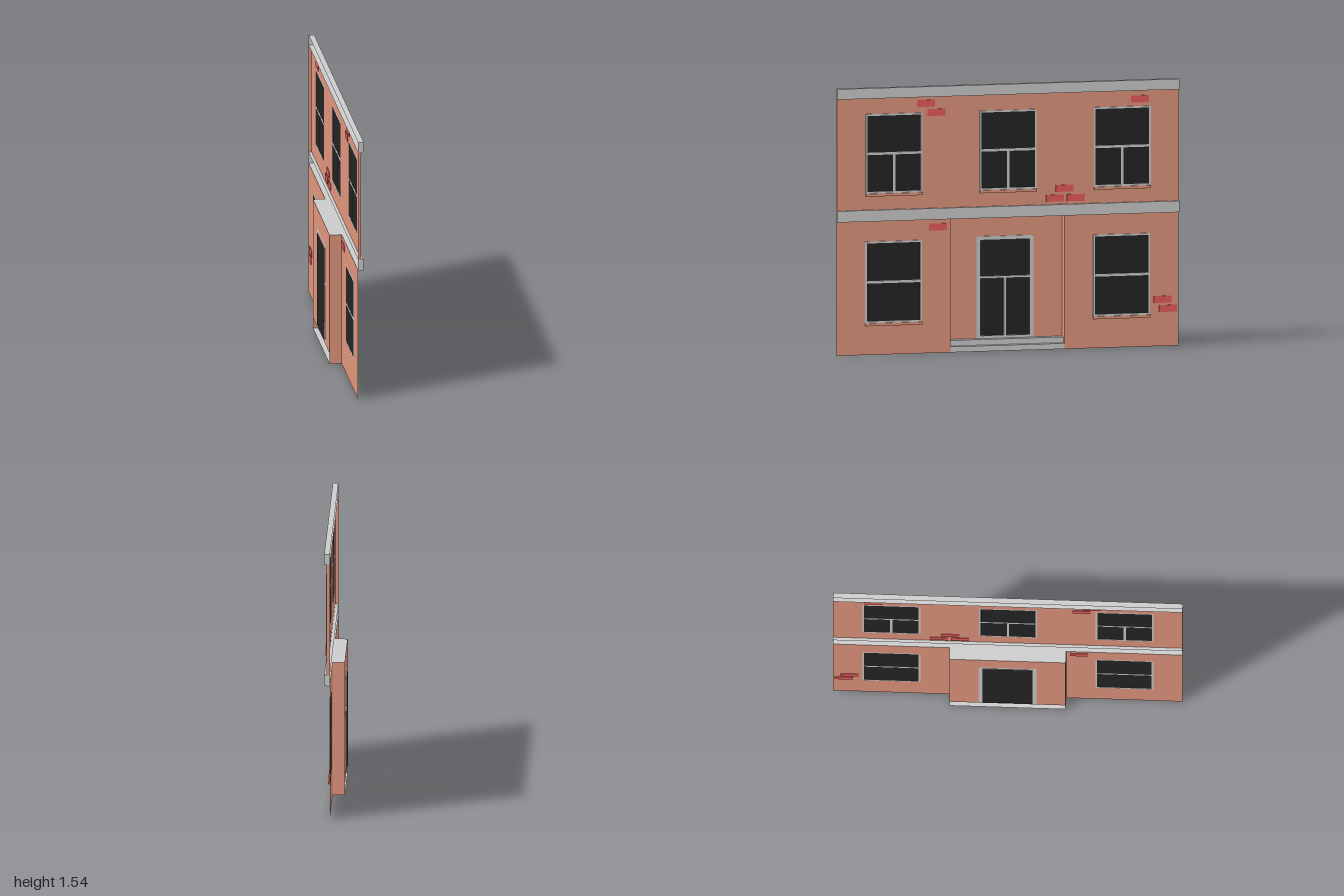
import * as THREE from 'three';

const mat = (color) => new THREE.MeshStandardMaterial({ color, side: THREE.DoubleSide });
const WALL = mat(0xe0957d), GREY = mat(0xcccccc), GLASS = mat(0x242424), BRICK = mat(0xe85c5c);

// Facade frame: x runs along the street, y up, z out of the wall.
const LOWER = 0.015, UPPER = 0.033, RECESS = -0.055, CORNICE = 0.047;
const HALF = 0.333, FLOOR2 = 0.84, STOREY = 0.775, STEP = 0.065;

function add(parent, name, geometry, material) {
  const m = new THREE.Mesh(geometry, material);
  m.name = name;
  parent.add(m);
  return m;
}

function box(parent, name, material, x0, x1, y0, y1, z0, z1) {
  const m = add(parent, name, new THREE.BoxGeometry(x1 - x0, y1 - y0, z1 - z0), material);
  m.position.set((x0 + x1) / 2, (y0 + y1) / 2, (z0 + z1) / 2);
  return m;
}

// Upright sheet with rectangular openings [x0, x1, y0, y1]
function sheet(parent, name, material, x0, x1, y0, y1, z, holes = []) {
  const rect = (P, a, b, c, d) => new P([[a, c], [b, c], [b, d], [a, d]].map((p) => new THREE.Vector2(...p)));
  const shape = rect(THREE.Shape, x0, x1, y0, y1);
  shape.holes = holes.map((h) => rect(THREE.Path, ...h));
  add(parent, name, new THREE.ShapeGeometry(shape), material).position.z = z;
}

// Sheet facing sideways, closing the gap between two depths
function returnWall(parent, name, material, x, y0, y1, z0, z1) {
  const m = add(parent, name, new THREE.PlaneGeometry(z1 - z0, y1 - y0), material);
  m.rotation.y = x > 0 ? Math.PI / 2 : -Math.PI / 2;
  m.position.set(x, (y0 + y1) / 2, (z0 + z1) / 2);
}

// Horizontal sheet
function slab(parent, name, material, x0, x1, y, z0, z1, up = true) {
  const m = add(parent, name, new THREE.PlaneGeometry(x1 - x0, z1 - z0), material);
  m.rotation.x = up ? -Math.PI / 2 : Math.PI / 2;
  m.position.set((x0 + x1) / 2, y, (z0 + z1) / 2);
}

// Frame, glass, cross bar and optional lower mullion and sill
function glazing(parent, name, [x0, x1, y0, y1], z, { border, bottom = border, bar, mullion, sill, glass }) {
  const g = new THREE.Group();
  g.name = name;
  parent.add(g);
  const front = z + 0.007, cx = (x0 + x1) / 2, t = 0.007;
  box(g, 'frameSide', GREY, x0, x0 + border, y0, y1, z, front);
  box(g, 'frameSide', GREY, x1 - border, x1, y0, y1, z, front);
  box(g, 'frameTop', GREY, x0 + border, x1 - border, y1 - border, y1, z, front);
  box(g, 'frameBottom', GREY, x0 + border, x1 - border, y0, y0 + bottom, z, front);
  box(g, 'crossBar', GREY, x0 + border, x1 - border, bar - t, bar + t, z, front);
  if (mullion) box(g, 'mullion', GREY, cx - t, cx + t, y0 + bottom, bar - t, z, front);
  sheet(g, 'glass', GLASS, x0 + border, x1 - border, y0 + bottom, y1 - border, z + glass);
  if (sill) box(g, 'sill', WALL, x0, x1, y0 - 0.016, y0, z, z + 0.015);
}

// Moulding left open at the back
function cornice(parent, name, y0, y1) {
  const g = new THREE.Group();
  g.name = name;
  parent.add(g);
  sheet(g, 'corniceFace', GREY, -1, 1, y0, y1, CORNICE);
  slab(g, 'corniceTop', GREY, -1, 1, y1, LOWER, CORNICE);
  slab(g, 'corniceUnderside', GREY, -1, 1, y0, LOWER, CORNICE, false);
  for (const s of [-1, 1]) returnWall(g, 'corniceEnd', GREY, s, y0, y1, LOWER, CORNICE);
}

export function createModel() {
  const model = new THREE.Group();
  model.name = 'buildingFacade';
  const facade = new THREE.Group();
  facade.name = 'facade';
  facade.rotation.y = Math.PI / 2;
  model.add(facade);

  // Ground floor walls and windows on both sides of the entrance
  for (const s of [-1, 1]) {
    const c = s * 0.667;
    const opening = [c - 0.166, c + 0.166, 0.184, 0.655];
    sheet(facade, 'lowerWall', WALL, c - HALF, c + HALF, 0, STOREY, LOWER, [opening]);
    glazing(facade, 'lowerWindow', opening, LOWER, { border: 0.01, bar: 0.42, sill: true, glass: 0.001 });
    returnWall(facade, 'recessSide', WALL, s * HALF, 0, STOREY, RECESS, LOWER);
    returnWall(facade, 'upperWallEnd', WALL, s, FLOOR2, 1.485, LOWER, UPPER);
  }

  // Recessed entrance
  const door = [-0.166, 0.166, STEP, 0.655];
  sheet(facade, 'recessWall', WALL, -HALF, HALF, STEP, STOREY, RECESS, [door]);
  slab(facade, 'recessCeiling', GREY, -HALF, HALF, STOREY, RECESS, LOWER, false);
  glazing(facade, 'door', door, RECESS, { border: 0.022, bottom: 0.016, bar: 0.418, mullion: true, glass: -0.003 });

  // Two steps, open at the back
  const mid = -0.015;
  sheet(facade, 'lowerRiser', GREY, -HALF, HALF, 0, STEP / 2, LOWER);
  slab(facade, 'lowerTread', GREY, -HALF, HALF, STEP / 2, mid, LOWER);
  sheet(facade, 'upperRiser', GREY, -HALF, HALF, STEP / 2, STEP, mid);
  slab(facade, 'upperTread', GREY, -HALF, HALF, STEP, RECESS, mid);
  slab(facade, 'stepBase', GREY, -HALF, HALF, 0, RECESS, LOWER, false);

  // Upper floor
  const openings = [-0.667, 0, 0.667].map((c) => [c - 0.166, c + 0.166, 0.935, 1.394]);
  sheet(facade, 'upperWall', WALL, -1, 1, FLOOR2, 1.485, UPPER, openings);
  for (const o of openings) {
    glazing(facade, 'upperWindow', o, UPPER, { border: 0.01, bar: 1.165, mullion: true, sill: true, glass: 0.001 });
  }

  cornice(facade, 'middleCornice', STOREY, FLOOR2);
  cornice(facade, 'roofCornice', 1.485, 1.545);

  // Exposed bricks, showing on both faces of the wall
  const bricks = [
    [-0.48, 1.447], [-0.42, 1.393], [0.77, 1.435], [0.33, 0.932], [0.275, 0.876], [0.395, 0.876],
    [-0.407, 0.728], [0.907, 0.27], [0.939, 0.217],
  ];
  for (const [x, y] of bricks) {
    const z = y > FLOOR2 ? UPPER : LOWER;
    box(facade, 'brick', BRICK, x - 0.052, x + 0.052, y - 0.02, y + 0.02, z - 0.003, z + 0.004);
  }
  return model;
}
